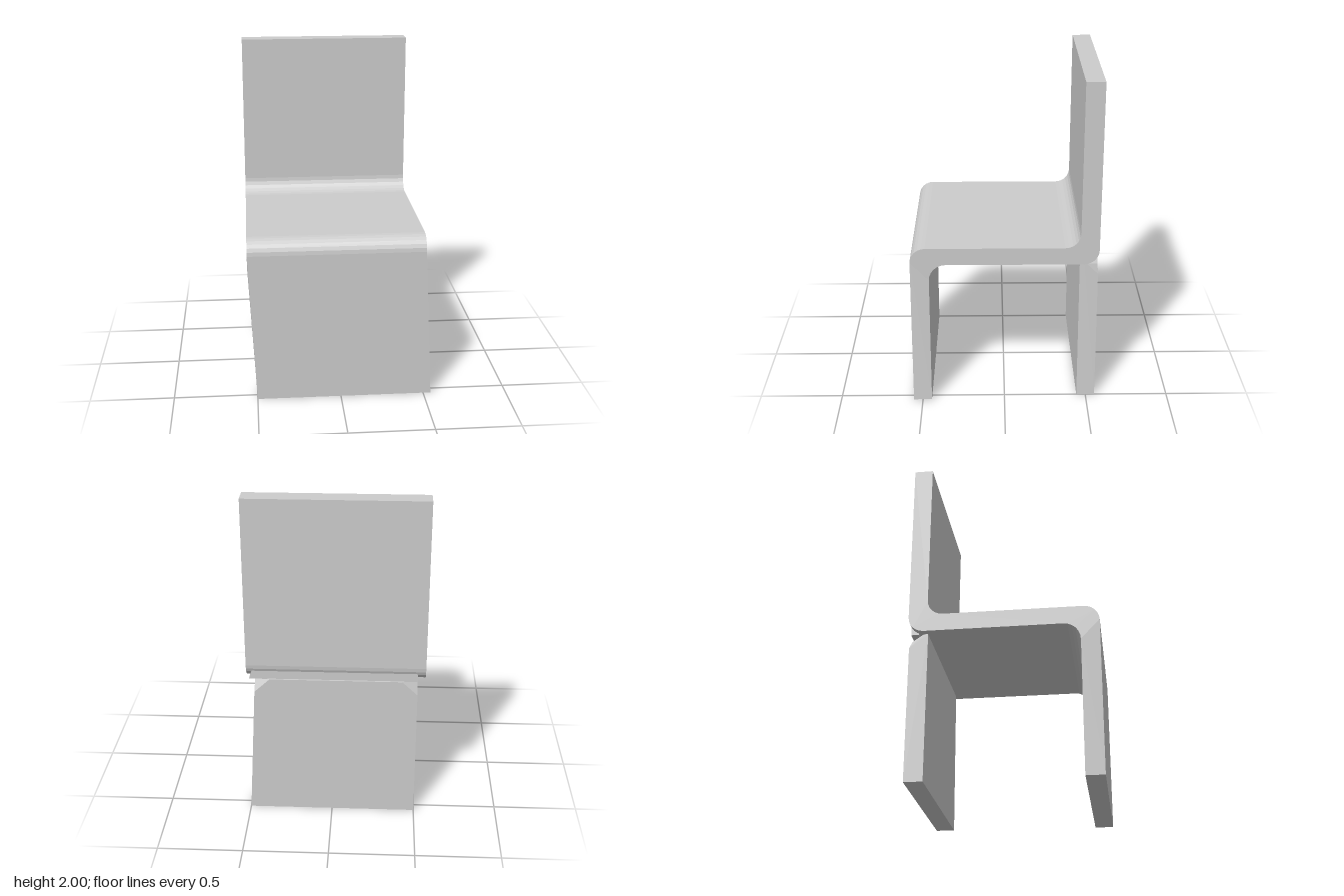
import * as THREE from 'three';
import { ConvexGeometry } from 'three/addons/geometries/ConvexGeometry.js';

const LEFT = 0.5, RIGHT = -0.545;

export function createModel() {
  const chair = new THREE.Group();
  chair.name = 'chair';
  const grey = new THREE.MeshStandardMaterial({ color: 0xcccccc });
  grey.name = 'light grey';

  const add = (name, geometry) => {
    const mesh = new THREE.Mesh(geometry, grey);
    mesh.name = name;
    chair.add(mesh);
  };
  const hull = (points) => new ConvexGeometry(points.map((p) => new THREE.Vector3(...p)));

  // Bent seat and backrest: side profile (u = -z) swept across the width
  const s = new THREE.Shape();
  s.moveTo(-0.555, 0.91);
  s.absarc(-0.465, 0.91, 0.09, Math.PI, Math.PI / 2, true);
  s.absarc(0.355, 1.09, 0.09, -Math.PI / 2, 0, false);
  s.lineTo(0.445, 2);
  s.lineTo(0.555, 2);
  s.absarc(0.465, 0.985, 0.09, 0, -Math.PI / 2, true);
  s.absarc(-0.345, 0.795, 0.1, Math.PI / 2, Math.PI, false);
  s.closePath();
  const body = new THREE.ExtrudeGeometry(s, { depth: LEFT - RIGHT, bevelEnabled: false, curveSegments: 3 });
  body.rotateY(Math.PI / 2);
  body.translate(RIGHT, 0, 0);
  add('seatAndBackrest', body);

  // Front leg panel, leaning sideways towards the floor
  add('frontLeg', hull([RIGHT, LEFT].flatMap((x) => [
    [x, 0.91, 0.555], [x, 0.795, 0.445],
    [x + 0.045, 0, 0.555], [x + 0.045, 0, 0.445],
  ])));

  // Back leg panel, tapered on one side, with its rear top corners cut off
  const ends = [{ top: -0.5, bottom: -0.5, inward: 1 }, { top: 0.455, bottom: 0.5, inward: -1 }];
  add('backLeg', hull(ends.flatMap(({ top, bottom, inward }) => [
    [bottom, 0, -0.555], [bottom, 0, -0.445],
    [top, 0.895, -0.445], [top, 0.895, -0.47],
    [top, 0.81, -0.555], [top + inward * 0.09, 0.895, -0.555],
  ])));

  // Joining strip tucked under the rear bend
  add('rearStrip', hull([-0.545, -0.5].flatMap((z) => [
    [-0.5, 0.893, z], [0.485, 0.893, z], [-0.5, 0.985, z], [0.455, 0.985, z],
  ])));

  return chair;
}
